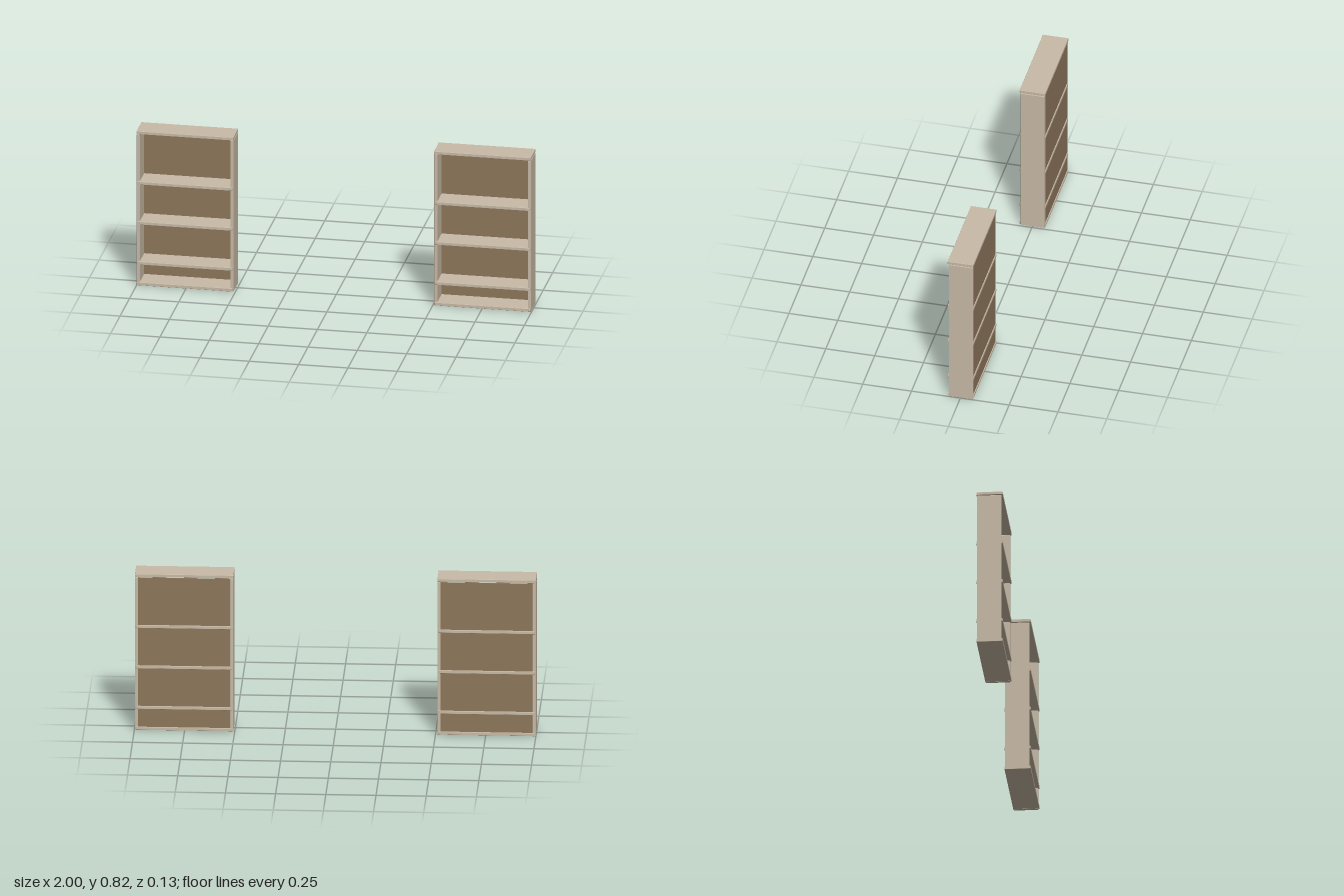
import * as THREE from 'three';
import { RoundedBoxGeometry } from 'three/addons/geometries/RoundedBoxGeometry.js';

const paleWood = new THREE.MeshStandardMaterial({ name: 'paleWood', color: 0xc8baa6 });
const brownWood = new THREE.MeshStandardMaterial({ name: 'brownWood', color: 0x8e775b });

const WIDTH = 0.49;
const THICK = 0.016;

// Board with slightly eased edges, given by its min and max corners
function board(name, [x0, y0, z0], [x1, y1, z1]) {
  const geometry = new RoundedBoxGeometry(x1 - x0, y1 - y0, z1 - z0, 2, 0.002);
  const mesh = new THREE.Mesh(geometry, paleWood);
  mesh.name = name;
  mesh.position.set((x0 + x1) / 2, (y0 + y1) / 2, (z0 + z1) / 2);
  return mesh;
}

function createBookcase(name) {
  const bookcase = new THREE.Group();
  bookcase.name = name;
  const h = WIDTH / 2;

  // Upright sides
  bookcase.add(board('rightSide', [-h, 0, -0.063], [-h + THICK, 0.803, 0.06]));
  bookcase.add(board('leftSide', [h - THICK, 0, -0.063], [h, 0.803, 0.06]));

  // Top board, just above the sides
  bookcase.add(board('topBoard', [-h, 0.806, -0.065], [h, 0.822, 0.066]));

  // Shelves, standing a little proud of the sides
  [0.002, 0.112, 0.325, 0.538].forEach((y, i) => {
    const shelfName = i === 0 ? 'bottomBoard' : 'shelf' + i;
    bookcase.add(board(shelfName, [-h + 0.003, y, -0.065], [h - 0.003, y + THICK, 0.066]));
  });

  // Thin back panel
  const panel = new THREE.Mesh(new THREE.BoxGeometry(WIDTH - 2 * THICK + 0.006, 0.795, 0.005), brownWood);
  panel.name = 'backPanel';
  panel.position.set(0, 0.4045, -0.0585);
  bookcase.add(panel);
  return bookcase;
}

export function createModel() {
  const model = new THREE.Group();
  model.name = 'bookcasePair';
  for (const [name, x] of [['rightBookcase', -0.755], ['leftBookcase', 0.752]]) {
    const bookcase = createBookcase(name);
    bookcase.position.x = x;
    model.add(bookcase);
  }
  return model;
}
